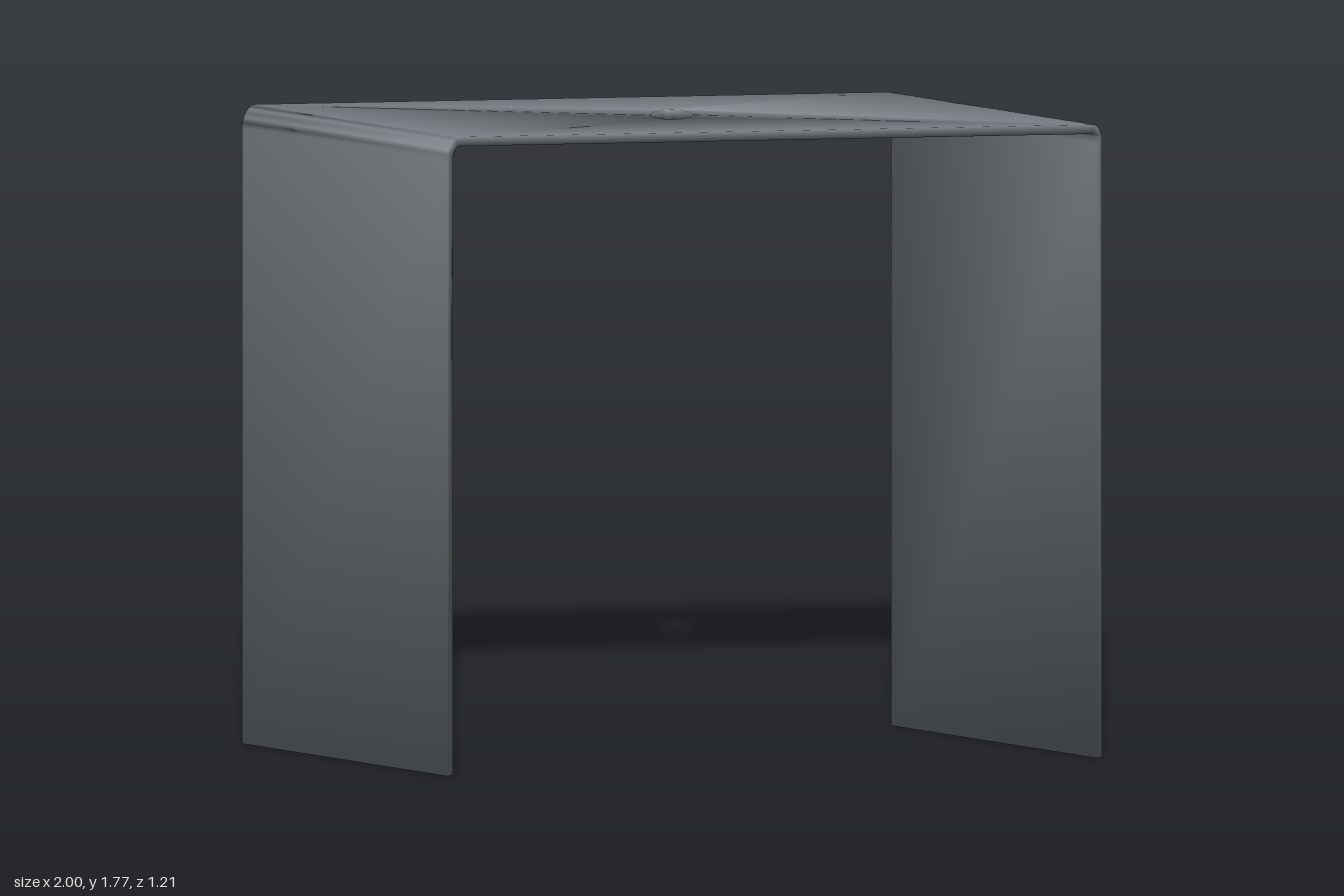
import * as THREE from 'three';
import { mergeGeometries, toCreasedNormals } from 'three/addons/utils/BufferGeometryUtils.js';

const HEIGHT = 1.77, DEPTH = 0.605, THICK = 0.026, BEND = 0.055; // BEND: outer bend radius
const INNER_X = 0.32, OUTER_X = 1, HOLE = 0.057;

const extrude = (shape, depth, curveSegments) =>
  new THREE.ExtrudeGeometry(shape, { depth, bevelEnabled: false, curveSegments });

export function createModel() {
  const group = new THREE.Group();
  const bendZ = DEPTH - BEND, bendY = HEIGHT - BEND;

  // Leg with its rounded bend, as a side profile (z, y) swept across the width
  const profile = new THREE.Shape();
  profile.moveTo(DEPTH - THICK, 0);
  profile.lineTo(DEPTH, 0);
  profile.lineTo(DEPTH, bendY);
  profile.absarc(bendZ, bendY, BEND, 0, Math.PI / 2, false);
  profile.lineTo(bendZ, HEIGHT - THICK);
  profile.absarc(bendZ, bendY, BEND - THICK, Math.PI / 2, 0, true);
  profile.closePath();
  const frontLeg = extrude(profile, OUTER_X - INNER_X, 3);
  frontLeg.rotateY(-Math.PI / 2);
  frontLeg.translate(-INNER_X, 0, 0);

  // The back leg is the front leg turned half way round
  const backLeg = frontLeg.clone().rotateY(Math.PI);

  // Slanted top plate with a round centre hole
  const plate = new THREE.Shape([
    new THREE.Vector2(-OUTER_X, -bendZ),
    new THREE.Vector2(-INNER_X, -bendZ),
    new THREE.Vector2(OUTER_X, bendZ),
    new THREE.Vector2(INNER_X, bendZ),
  ]);
  plate.holes.push(new THREE.Path().absarc(0, 0, HOLE, 0, Math.PI * 2, true));
  const seat = extrude(plate, THICK, 12);
  seat.rotateX(-Math.PI / 2);
  seat.translate(0, HEIGHT - THICK, 0);

  // One bent sheet, shaded smoothly over all its edges
  const sheet = new THREE.Mesh(
    toCreasedNormals(mergeGeometries([frontLeg, backLeg, seat]), Math.PI),
    new THREE.MeshStandardMaterial({ color: 0x747b80 }));
  sheet.name = 'bentSheetStool';
  group.add(sheet);

  return group;
}
